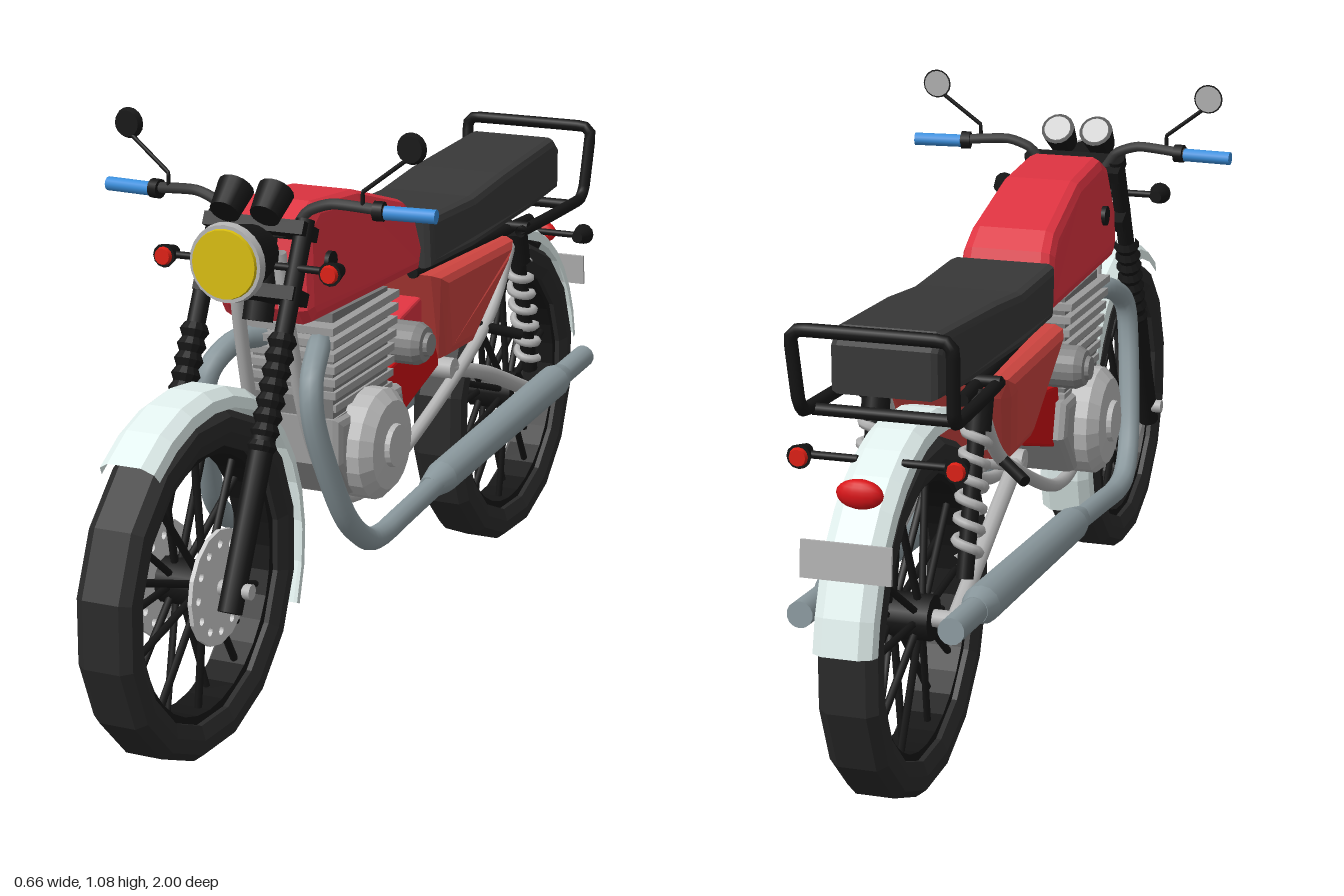
import * as THREE from 'three';

const BLACK = 0x161616, DARK = 0x383838, RED = 0xdc3340, PIPE = 0x8a989d, STEEL = 0xb4b4b4, ENGINE = 0x9c9c9c, WHITE = 0xe2f0ee;
const V = (x, y, z) => new THREE.Vector3(x, y, z);

export function createModel() {
  const root = new THREE.Group();

  const add = (name, geo, color, flat = false, side = THREE.FrontSide) => {
    const m = new THREE.Mesh(geo, new THREE.MeshStandardMaterial({ color, flatShading: flat, side }));
    m.name = name;
    root.add(m);
    return m;
  };
  // Places a geometry that runs up +y from 0 so that it starts at a and points to b
  const along = (name, geo, a, b, color, flat) => {
    const m = add(name, geo, color, flat);
    m.position.copy(a);
    m.quaternion.setFromUnitVectors(V(0, 1, 0), b.clone().sub(a).normalize());
    return m;
  };
  const rod = (name, a, b, r, color, r2 = r, seg = 12) => {
    const len = a.distanceTo(b);
    return along(name, new THREE.CylinderGeometry(r2, r, len, seg).translate(0, len / 2, 0), a, b, color);
  };
  const tube = (name, pts, r, color, tension = 0.3) => {
    const curve = new THREE.CatmullRomCurve3(pts, false, 'catmullrom', tension);
    return add(name, new THREE.TubeGeometry(curve, pts.length * 6, r, 10), color, false, THREE.DoubleSide);
  };
  // Side outline of [z, y] points, extruded across the width with chamfered edges
  const slab = (name, outline, halfWidth, bevel, color, shapeX = (x) => x) => {
    const shape = new THREE.Shape(outline.map(([z, y]) => new THREE.Vector2(-z, y)));
    const depth = 2 * (halfWidth - bevel);
    const geo = new THREE.ExtrudeGeometry(shape, { depth, bevelThickness: bevel, bevelSize: bevel, bevelOffset: -bevel, bevelSegments: 2 });
    geo.translate(0, 0, -depth / 2).rotateY(Math.PI / 2);
    const p = geo.attributes.position;
    for (let i = 0; i < p.count; i++) p.setX(i, shapeX(p.getX(i), p.getY(i), p.getZ(i)));
    return add(name, geo, color, true);
  };
  // Revolves [radius, x] points about the x axis; angles run from +z towards +y
  const revolve = (name, pts, z, y, color, seg = 16, start = 0, sweep = 2 * Math.PI, flat = true, side) => {
    const geo = new THREE.LatheGeometry(pts.map(([r, x]) => new THREE.Vector2(r, x)), seg, start, sweep);
    const m = add(name, geo.rotateZ(Math.PI / 2), color, flat, side);
    m.position.set(0, y, z);
    return m;
  };
  const both = (fn) => [1, -1].forEach(fn);

  // Wheels: tyre, rim, hub, spokes
  const wheel = (name, z, y, R) => {
    const r = R - 0.065;
    revolve(name + 'Tyre', [[r, -0.045], [R - 0.04, -0.055], [R - 0.014, -0.053], [R, -0.035], [R, 0.035],
      [R - 0.014, 0.053], [R - 0.04, 0.055], [r, 0.045], [r, -0.045]], z, y, 0x2a2a2a, 16, Math.PI / 16);
    revolve(name + 'Rim', [[r - 0.016, -0.035], [r + 0.004, -0.035], [r + 0.004, 0.035], [r - 0.016, 0.035], [r - 0.016, -0.035]], z, y, BLACK, 32);
    rod(name + 'Hub', V(-0.05, y, z), V(0.05, y, z), 0.042, BLACK);
    for (let i = 0; i < 20; i++) {
      const a = i * Math.PI / 10, c = Math.cos(a), s = Math.sin(a), x = i % 2 ? 0.025 : -0.025;
      rod(name + 'Spoke', V(x, y + 0.03 * s, z + 0.03 * c), V(x * 0.4, y + r * s, z + r * c), 0.007, BLACK, 0.007, 6);
    }
  };
  wheel('front', 0.69, 0.317, 0.314);
  wheel('rear', -0.662, 0.325, 0.322);

  // Mudguards
  const guard = (r) => [[r - 0.035, -0.056], [r - 0.015, -0.052], [r, -0.032], [r, 0.032], [r - 0.015, 0.052], [r - 0.035, 0.056]];
  const rad = THREE.MathUtils.degToRad;
  revolve('frontMudguard', guard(0.358), 0.69, 0.31, WHITE, 12, rad(52), rad(150), true, THREE.DoubleSide);
  revolve('rearMudguard', guard(0.365), -0.645, 0.325, WHITE, 12, rad(50), rad(122), true, THREE.DoubleSide);

  // Front brake discs with holes
  both((s) => {
    const disc = new THREE.Shape().absarc(0, 0, 0.105, 0, 2 * Math.PI);
    for (let i = 0; i < 12; i++) {
      const a = i * Math.PI / 6;
      disc.holes.push(new THREE.Path().absarc(0.08 * Math.cos(a), 0.08 * Math.sin(a), 0.008, 0, 2 * Math.PI, true));
    }
    const geo = new THREE.ExtrudeGeometry(disc, { depth: 0.008, bevelEnabled: false, curveSegments: 8 }).rotateY(Math.PI / 2);
    add('brakeDisc', geo, 0xbdbdbd, true).position.set(s * 0.056 - 0.004, 0.317, 0.69);
  });
  rod('frontAxle', V(-0.122, 0.317, 0.69), V(0.122, 0.317, 0.69), 0.014, STEEL);
  rod('rearAxle', V(-0.115, 0.325, -0.662), V(0.115, 0.325, -0.662), 0.016, STEEL);

  // Fork legs with ribbed gaiters
  both((s) => {
    const at = (t) => V(s * 0.088, 0.28 + 0.64 * t, 0.71 - 0.3 * t);
    rod('forkLower', at(0), at(0.45), 0.022, BLACK);
    rod('forkUpper', at(0.4), at(1), 0.017, BLACK);
    const ribs = [];
    for (let i = 0; i <= 16; i++) ribs.push(new THREE.Vector2(i % 2 ? 0.027 : 0.02, i * 0.0135));
    along('forkGaiter', new THREE.LatheGeometry(ribs, 12), at(0.4), at(1), BLACK, true);
  });
  for (const [y, z] of [[0.79, 0.455], [0.9, 0.415]]) {
    const clamp = add('forkClamp', new THREE.BoxGeometry(0.2, 0.025, 0.065), BLACK, true);
    clamp.position.set(0, y, z);
    clamp.rotation.x = -0.44;
  }
  rod('headstock', V(0, 0.73, 0.43), V(0, 0.91, 0.375), 0.028, BLACK);

  // Headlight and gauges
  rod('headlightShell', V(0, 0.86, 0.44), V(0, 0.86, 0.54), 0.05, BLACK, 0.07, 24);
  rod('headlightRing', V(0, 0.86, 0.535), V(0, 0.86, 0.55), 0.073, STEEL, 0.07, 24);
  rod('headlightLens', V(0, 0.86, 0.54), V(0, 0.86, 0.556), 0.066, 0xd8bd10, 0.062, 24);
  both((s) => {
    rod('gauge', V(s * 0.04, 0.935, 0.475), V(s * 0.04, 0.972, 0.43), 0.028, BLACK, 0.034, 16);
    rod('gaugeFace', V(s * 0.04, 0.97, 0.432), V(s * 0.04, 0.974, 0.427), 0.027, 0xcccccc, 0.027, 16);
  });

  // Handlebar, grips and mirrors
  tube('handlebar', [V(-0.25, 0.945, 0.39), V(-0.14, 0.952, 0.402), V(-0.09, 0.935, 0.405), V(-0.055, 0.895, 0.41),
    V(0.055, 0.895, 0.41), V(0.09, 0.935, 0.405), V(0.14, 0.952, 0.402), V(0.25, 0.945, 0.39)], 0.01, DARK);
  both((s) => {
    rod('grip', V(s * 0.235, 0.943, 0.392), V(s * 0.33, 0.943, 0.384), 0.013, 0x3a8fdd);
    rod('gripClamp', V(s * 0.215, 0.945, 0.394), V(s * 0.233, 0.945, 0.392), 0.018, BLACK);
    tube('mirrorStem', [V(s * 0.195, 0.95, 0.4), V(s * 0.195, 0.978, 0.4), V(s * 0.275, 1.04, 0.392)], 0.004, BLACK, 0);
    rod('mirror', V(s * 0.283, 1.06, 0.396), V(s * 0.283, 1.06, 0.385), 0.024, BLACK, 0.029, 16);
    rod('mirrorGlass', V(s * 0.283, 1.06, 0.386), V(s * 0.283, 1.06, 0.383), 0.026, 0xb0b0b0, 0.026, 16);
  });

  // Turn signals, front and rear
  const signal = (x, y, z, dir) => {
    rod('signalStalk', V(Math.sign(x) * 0.04, y, z), V(x, y, z), 0.007, BLACK);
    rod('signalBody', V(x, y, z - dir * 0.022), V(x, y, z + dir * 0.018), 0.012, BLACK, 0.022);
    rod('signalLens', V(x, y, z + dir * 0.015), V(x, y, z + dir * 0.026), 0.018, 0xdd2015, 0.015);
  };
  both((s) => { signal(s * 0.166, 0.842, 0.455, 1); signal(s * 0.14, 0.65, -0.79, -1); });

  // Fuel tank with side caps
  slab('fuelTank', [[0.41, 0.82], [0.39, 0.91], [0.34, 0.938], [0.17, 0.927], [-0.02, 0.872], [-0.06, 0.84], [-0.088, 0.765],
    [-0.075, 0.722], [0.39, 0.722], [0.41, 0.75]], 0.094, 0.022, RED, (x, y) => x * (1 - Math.max(0, y - 0.8) * 1.3));
  both((s) => rod('tankCap', V(s * 0.07, 0.825, 0.318), V(s * 0.096, 0.825, 0.318), 0.02, BLACK));

  // Seat
  slab('seat', [[-0.085, 0.825], [-0.3, 0.826], [-0.45, 0.845], [-0.735, 0.868], [-0.768, 0.84], [-0.768, 0.755],
    [-0.62, 0.738], [-0.3, 0.722], [-0.095, 0.722]], 0.106, 0.016, DARK, (x, y, z) => x * (z < -0.6 ? 0.93 : 1));

  // Rear grab rail
  tube('grabRail', [V(0.12, 0.715, -0.5), V(0.128, 0.72, -0.62), V(0.135, 0.728, -0.79), V(0.137, 0.75, -0.81), V(0.142, 0.865, -0.828),
    V(0.125, 0.88, -0.828), V(-0.125, 0.88, -0.828), V(-0.142, 0.865, -0.828), V(-0.137, 0.75, -0.81), V(-0.135, 0.728, -0.79),
    V(-0.128, 0.72, -0.62), V(-0.12, 0.715, -0.5)], 0.012, BLACK, 0.1);
  for (const z of [-0.52, -0.76]) rod('railBracket', V(-0.13, 0.722, z), V(0.13, 0.722, z), 0.011, BLACK);

  // Side panels, narrowing downwards
  slab('sidePanel', [[-0.09, 0.71], [-0.465, 0.712], [-0.44, 0.665], [-0.335, 0.515], [-0.195, 0.515]], 0.13, 0.025, 0xcf4540,
    (x, y) => x * (0.72 + 0.28 * Math.min(1, (y - 0.515) / 0.15)));
  slab('lowerPanel', [[0.04, 0.55], [-0.19, 0.59], [-0.2, 0.5], [0.065, 0.415]], 0.075, 0.006, 0xcc1014);
  slab('airDuct', [[-0.02, 0.635], [-0.13, 0.66], [-0.13, 0.58], [-0.02, 0.59]], 0.07, 0.006, RED);

  // Engine: finned cylinder, crankcase, covers, carburettor
  const fins = new THREE.Group();
  fins.name = 'engineFins';
  for (let i = 0; i < 8; i++) {
    const fin = add('coolingFin', new THREE.BoxGeometry(0.2 - 0.004 * i, 0.014, 0.285 - 0.006 * i), ENGINE, true);
    fin.position.set(0, 0.7 - i * 0.026, 0.185 - i * 0.003);
    fin.rotation.x = 0.04;
    fins.add(fin);
  }
  root.add(fins);
  add('cylinderBlock', new THREE.BoxGeometry(0.165, 0.25, 0.235), 0x777777, true).position.set(0, 0.595, 0.175);
  slab('crankcase', [[0.3, 0.52], [0.02, 0.52], [0, 0.45], [0.08, 0.36], [0.24, 0.36], [0.3, 0.43]], 0.1, 0.015, ENGINE);
  revolve('engineCover', [[0, -0.158], [0.04, -0.158], [0.042, -0.148], [0.085, -0.145], [0.106, -0.125], [0.106, 0.125],
    [0.085, 0.145], [0.042, 0.148], [0.04, 0.158], [0, 0.158]], 0.168, 0.445, 0xb8b8b8, 20);
  revolve('carburettor', [[0, -0.15], [0.022, -0.15], [0.024, -0.142], [0.034, -0.14], [0.042, -0.125], [0.042, 0.125],
    [0.034, 0.14], [0.024, 0.142], [0.022, 0.15], [0, 0.15]], 0.005, 0.6, 0x858585, 16);

  both((s) => {
    // Exhaust pipe and silencer
    tube('exhaustPipe', [V(s * 0.06, 0.665, 0.3), V(s * 0.085, 0.665, 0.36), V(s * 0.105, 0.62, 0.425), V(s * 0.115, 0.53, 0.425),
      V(s * 0.135, 0.37, 0.36), V(s * 0.145, 0.3, 0.29), V(s * 0.145, 0.283, 0.22), V(s * 0.142, 0.29, 0.12), V(s * 0.137, 0.316, -0.15)], 0.022, PIPE, 0.5);
    const at = (z) => V(s * 0.136, 0.303 - z * 0.084, z);
    rod('silencerCone', at(-0.02), at(-0.08), 0.022, PIPE, 0.033, 14);
    rod('silencer', at(-0.08), at(-0.66), 0.033, PIPE, 0.035, 14);
    rod('silencerEnd', at(-0.66), at(-0.7), 0.035, PIPE, 0.025, 14);
    rod('silencerTip', at(-0.69), at(-0.83), 0.024, PIPE, 0.024, 14);

    // Frame cradle, rear stays and swingarm
    tube('frameTube', [V(s * 0.045, 0.86, 0.43), V(s * 0.05, 0.72, 0.405), V(s * 0.055, 0.52, 0.345), V(s * 0.06, 0.38, 0.26),
      V(s * 0.065, 0.335, 0.17), V(s * 0.07, 0.35, 0.02), V(s * 0.085, 0.46, -0.24), V(s * 0.09, 0.56, -0.42), V(s * 0.09, 0.7, -0.53)], 0.013, STEEL, 0.5);
    tube('swingarm', [V(s * 0.075, 0.485, -0.24), V(s * 0.085, 0.43, -0.42), V(s * 0.09, 0.325, -0.67)], 0.016, STEEL);
    rod('seatRail', V(s * 0.07, 0.715, -0.08), V(s * 0.09, 0.715, -0.62), 0.012, BLACK);
    rod('footPeg', V(s * 0.08, 0.54, -0.38), V(s * 0.15, 0.515, -0.44), 0.011, BLACK);

    // Rear shock absorber with coil spring
    const top = V(s * 0.095, 0.71, -0.53), low = V(s * 0.095, 0.39, -0.625), coil = [];
    rod('shockRod', low, top, 0.016, BLACK);
    rod('shockCap', low.clone().lerp(top, 0.78), top, 0.026, BLACK);
    for (let i = 0; i <= 48; i++) {
      const a = i * Math.PI / 4;
      coil.push(V(0.022 * Math.cos(a), 0.03 + i * 0.0048, 0.022 * Math.sin(a)));
    }
    along('shockSpring', new THREE.TubeGeometry(new THREE.CatmullRomCurve3(coil), 110, 0.009, 6), low, top, STEEL);
  });
  rod('swingarmPivot', V(-0.09, 0.485, -0.24), V(0.09, 0.485, -0.24), 0.022, STEEL);

  // Tail light and rear plate
  const tail = add('tailLight', new THREE.SphereGeometry(1, 14, 10), 0xd81418);
  tail.scale.set(0.042, 0.026, 0.018);
  tail.position.set(0, 0.625, -0.893);
  rod('tailLightMount', V(0, 0.6, -0.85), V(0, 0.625, -0.89), 0.018, BLACK);
  const plate = add('rearPlate', new THREE.BoxGeometry(0.16, 0.065, 0.006), 0xb0b0b0, true);
  plate.position.set(0, 0.53, -0.965);
  plate.rotation.x = 0.1;

  return root;
}
